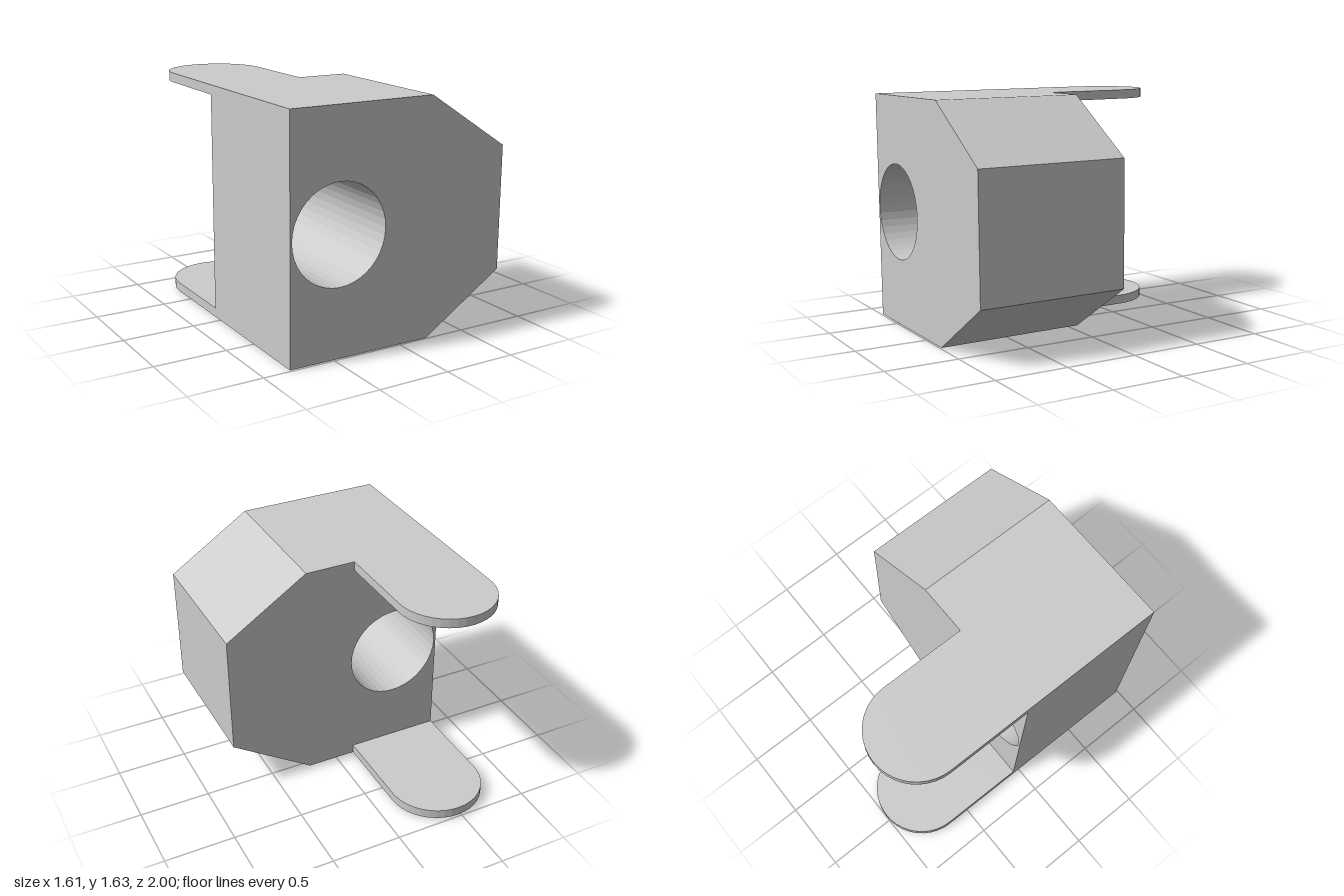
import * as THREE from 'three';

const HALF_H = 0.807;   // half height of the block
const LEFT = -0.806;    // flat side
const FRONT = 0.995;
const BACK = -0.048;
const TAB_T = 0.065;    // tab thickness
const TAB_R = 0.335;    // radius of the rounded tab end
const TAB_END = -0.992;

export function createModel() {
  const group = new THREE.Group();
  const material = new THREE.MeshStandardMaterial({ color: 0xcccccc, flatShading: true });

  const add = (name, geometry, y = 0, z = 0) => {
    const mesh = new THREE.Mesh(geometry, material);
    mesh.name = name;
    mesh.position.set(0, y, z);
    group.add(mesh);
  };

  // Block: two chamfered corners and a round bore from front to back
  const profile = new THREE.Shape([
    [LEFT, -HALF_H], [0.22, -HALF_H], [0.802, -0.428],
    [0.802, 0.428], [0.22, HALF_H], [LEFT, HALF_H],
  ].map(([x, y]) => new THREE.Vector2(x, y)));
  const bore = new THREE.Path();
  bore.absarc(-0.456, 0, 0.336, 0, Math.PI * 2, true);
  profile.holes.push(bore);
  add('block', new THREE.ExtrudeGeometry(profile, {
    depth: FRONT - BACK, curveSegments: 20, bevelEnabled: false,
  }), 0, BACK);

  // Tabs: flat plates with rounded ends, drawn in x/z and laid flat
  const cx = LEFT + TAB_R;
  const outline = new THREE.Shape();
  outline.moveTo(LEFT, BACK);
  outline.lineTo(LEFT, TAB_END + TAB_R);
  outline.absarc(cx, TAB_END + TAB_R, TAB_R, Math.PI, Math.PI * 2, false);
  outline.lineTo(cx + TAB_R, BACK);
  outline.closePath();
  const tab = new THREE.ExtrudeGeometry(outline, {
    depth: TAB_T, curveSegments: 10, bevelEnabled: false,
  }).rotateX(Math.PI / 2);
  add('topTab', tab, HALF_H);
  add('bottomTab', tab, -HALF_H + TAB_T);

  // The whole part sits very slightly tilted
  group.rotation.set(0.0088, -0.003, 0);
  group.position.y = 0.816;
  return group;
}
